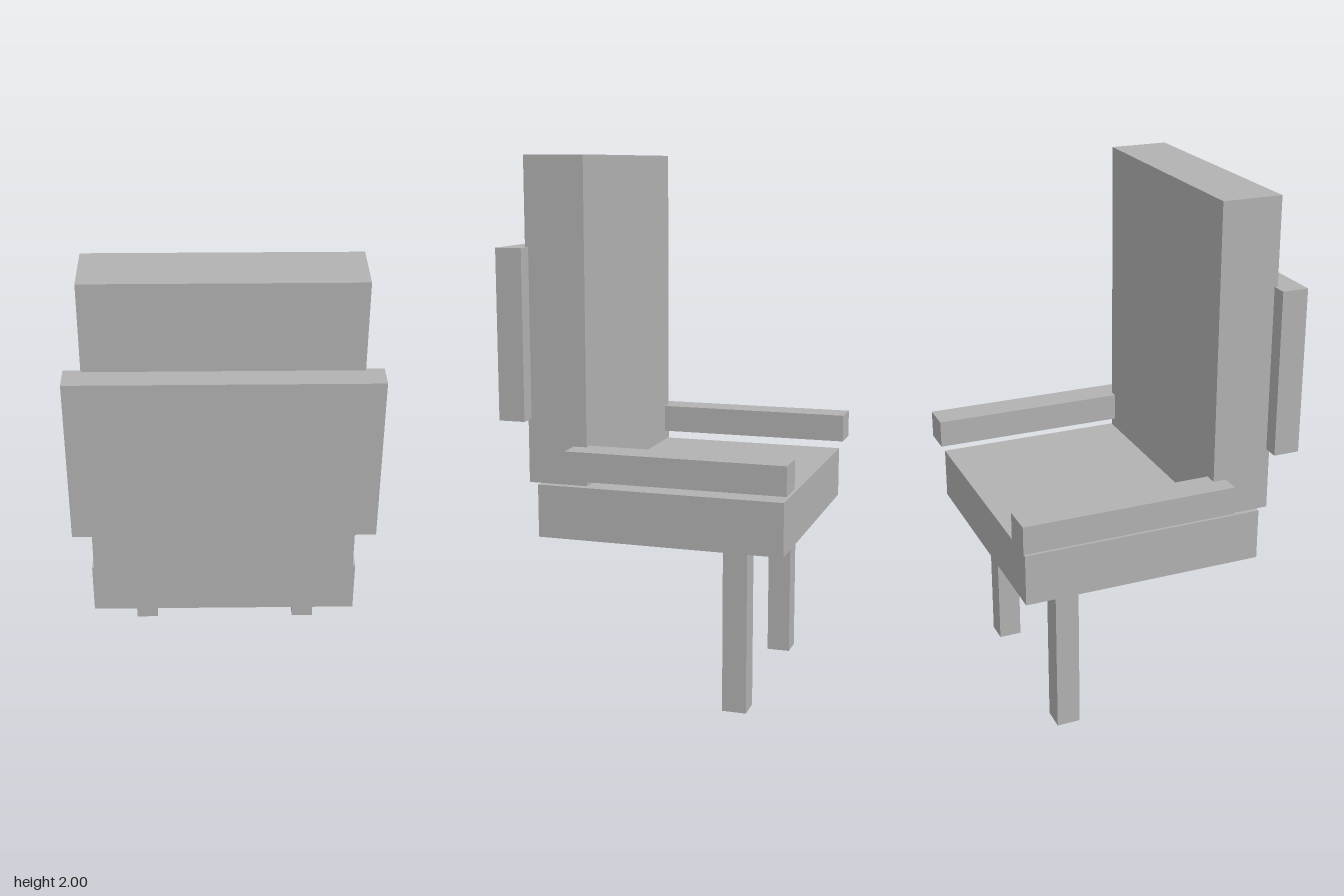
import * as THREE from 'three';

export function createModel() {
  const chair = new THREE.Group();
  chair.name = 'armchair';
  const grey = new THREE.MeshStandardMaterial({ color: 0xb2b2b2 });
  grey.name = 'plain grey';

  // Box spanning the given [min, max] range on each axis
  function addBox(name, [x0, x1], [y0, y1], [z0, z1]) {
    const mesh = new THREE.Mesh(new THREE.BoxGeometry(x1 - x0, y1 - y0, z1 - z0), grey);
    mesh.position.set((x0 + x1) / 2, (y0 + y1) / 2, (z0 + z1) / 2);
    mesh.name = name;
    chair.add(mesh);
  }

  // Seat, tall backrest and the pad behind it
  addBox('seat', [-0.491, 0.477], [0.625, 0.821], [-0.508, 0.41]);
  addBox('backrest', [-0.48, 0.463], [0.825, 2], [0.224, 0.448]);
  addBox('backPad', [-0.54, 0.526], [1.06, 1.678], [0.436, 0.534]);

  // Armrests on both sides
  addBox('rightArmrest', [-0.552, -0.431], [0.862, 0.968], [-0.534, 0.274]);
  addBox('leftArmrest', [0.431, 0.552], [0.862, 0.968], [-0.534, 0.274]);

  // The two legs
  addBox('rightLeg', [-0.38, -0.29], [0, 0.625], [-0.356, -0.266]);
  addBox('leftLeg', [0.302, 0.392], [0, 0.625], [-0.356, -0.266]);

  return chair;
}
